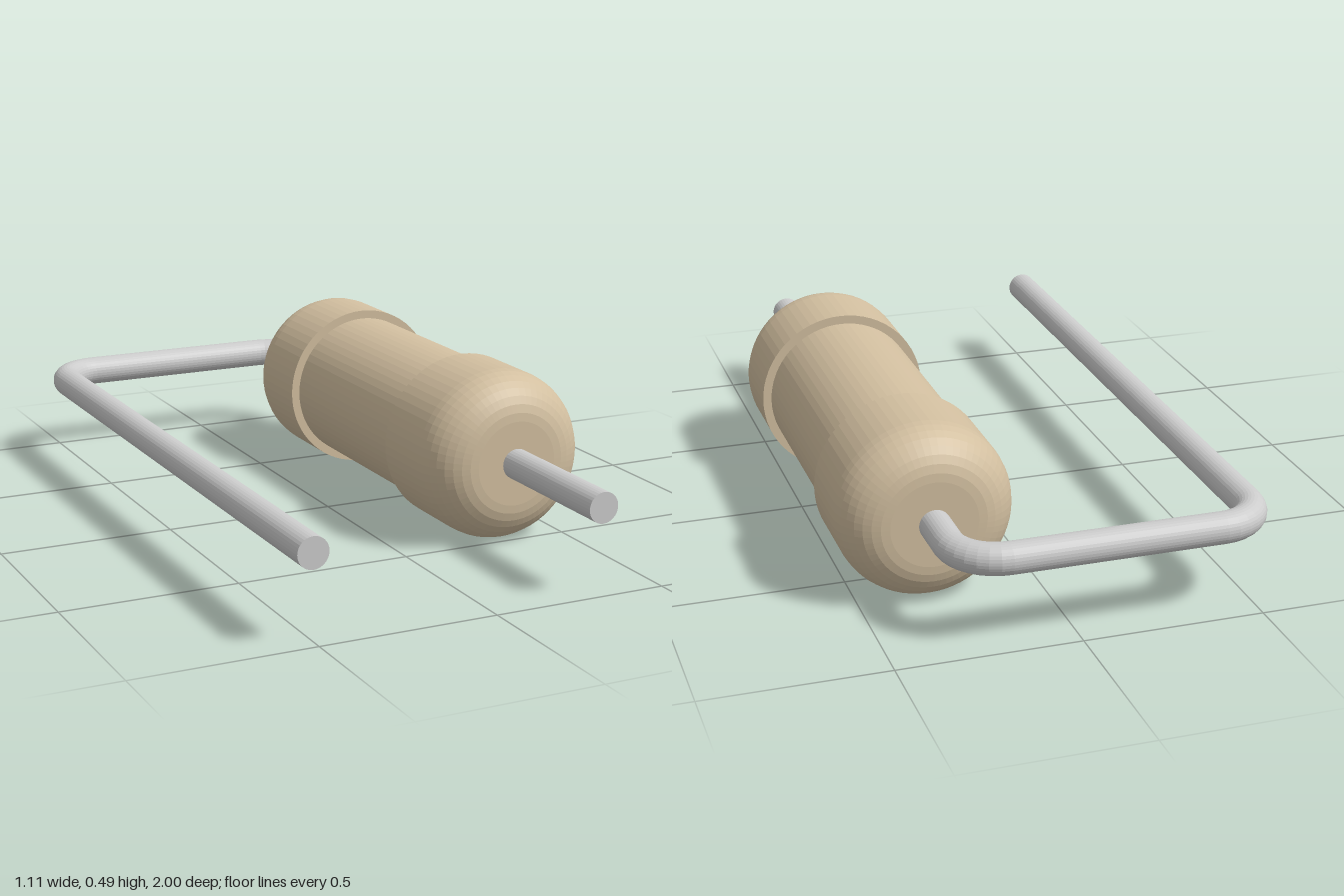
import * as THREE from 'three';

const AXIS_X = 0.31, AXIS_Y = 0.243;   // body axis, running along z
const LEFT_X = -0.515;                 // return lead
const WIRE_R = 0.043, BEND_R = 0.123, BACK_Z = -0.957;

export function createModel() {
  const model = new THREE.Group();
  const tan = new THREE.MeshStandardMaterial({ color: 0xd2bfa0, flatShading: true });
  const metal = new THREE.MeshStandardMaterial({ color: 0xcccccc, flatShading: true });

  const add = (parent, name, geometry, material, x, y, z) => {
    const mesh = new THREE.Mesh(geometry, material);
    mesh.name = name;
    mesh.position.set(x, y, z);
    parent.add(mesh);
    return mesh;
  };

  // Body: slim barrel between two wider, rounded end caps
  const half = 0.64, capR = 0.243, barrelR = 0.218, fillet = 0.123, capLength = 0.32;
  const lower = [new THREE.Vector2(0, -half)];
  const steps = 8;
  for (let i = 0; i <= steps; i++) {
    const a = (i / steps) * Math.PI / 2;
    lower.push(new THREE.Vector2(
      capR - fillet + fillet * Math.sin(a),
      -half + fillet - fillet * Math.cos(a)));
  }
  lower.push(new THREE.Vector2(capR, -half + capLength));
  lower.push(new THREE.Vector2(barrelR, -half + capLength));
  const upper = lower.map(p => new THREE.Vector2(p.x, -p.y)).reverse();
  const bodyGeometry = new THREE.LatheGeometry([...lower, ...upper], 64).rotateX(Math.PI / 2);
  add(model, 'body', bodyGeometry, tan, AXIS_X, AXIS_Y, -0.08);

  // Wire: straight runs joined by two quarter bends at the back
  const wire = new THREE.Group();
  wire.name = 'wireLead';
  model.add(wire);
  const bendZ = BACK_Z + BEND_R;
  const run = (length, open) => new THREE.CylinderGeometry(WIRE_R, WIRE_R, length, 32, 1, open);
  const bend = () => new THREE.TorusGeometry(BEND_R, WIRE_R, 32, 8, Math.PI / 2);

  for (const [name, x] of [['axialLead', AXIS_X], ['returnLead', LEFT_X]]) {
    add(wire, name, run(1 - bendZ).rotateX(Math.PI / 2), metal, x, AXIS_Y, (1 + bendZ) / 2);
  }
  const crossLength = AXIS_X - LEFT_X - 2 * BEND_R;
  add(wire, 'crossLead', run(crossLength, true).rotateZ(Math.PI / 2), metal,
    (AXIS_X + LEFT_X) / 2, AXIS_Y, BACK_Z);
  add(wire, 'axialBend', bend().rotateX(-Math.PI / 2), metal, AXIS_X - BEND_R, AXIS_Y, bendZ);
  add(wire, 'returnBend', bend().rotateZ(Math.PI / 2).rotateX(-Math.PI / 2), metal,
    LEFT_X + BEND_R, AXIS_Y, bendZ);

  return model;
}
